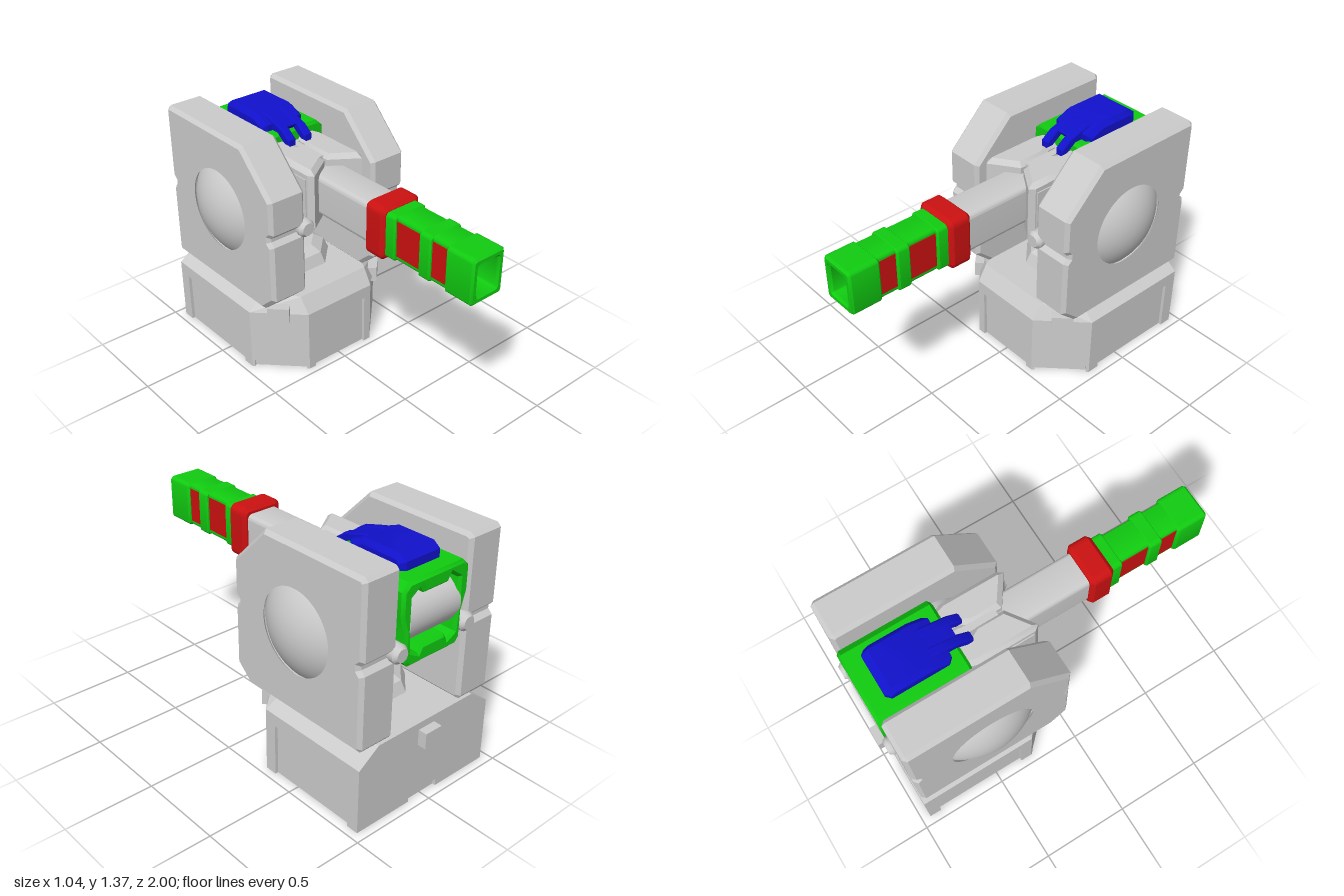
import * as THREE from 'three';
import { toCreasedNormals } from 'three/addons/utils/BufferGeometryUtils.js';
import { ConvexGeometry } from 'three/addons/geometries/ConvexGeometry.js';

const mat = (color) => new THREE.MeshStandardMaterial({ color, side: THREE.DoubleSide });
const grey = mat(0xcccccc), green = mat(0x11cc11), red = mat(0xcc1111), blue = mat(0x1111cc);
const V = (x, y) => new THREE.Vector2(x, y);
const poly = (pts) => new THREE.Shape(pts.map((p) => V(p[0], p[1])));

// Rounded rectangle centred on (0, cy)
function roundRect(hw, hh, r, cy = 0) {
  const s = new THREE.Shape();
  for (const [sx, sy, a] of [[1, 1, 0], [-1, 1, 1], [-1, -1, 2], [1, -1, 3]])
    s.absarc(sx * (hw - r), cy + sy * (hh - r), r, a * Math.PI / 2, (a + 1) * Math.PI / 2, false);
  return s;
}

// Extrusion of total depth with bevels kept inside the outline, centred on its depth
function extrude(shape, depth, bevel = 0, holes = []) {
  shape.holes.push(...holes);
  const g = new THREE.ExtrudeGeometry(shape, {
    depth: depth - 2 * bevel, bevelEnabled: bevel > 0, bevelSize: bevel, bevelThickness: bevel,
    bevelOffset: -bevel, bevelSegments: 1, curveSegments: 8,
  });
  g.translate(0, 0, bevel - depth / 2);
  return toCreasedNormals(g, 0.55);
}
const alongX = (pts, w, bevel, holes) => extrude(poly(pts), w, bevel, holes).rotateY(-Math.PI / 2); // pts are (z, y)
const alongY = (pts, h, bevel) => extrude(poly(pts), h, bevel).rotateX(Math.PI / 2); // pts are (x, z)

export function createModel() {
  const root = new THREE.Group();
  const add = (name, geo, m = grey, x = 0, y = 0, z = 0, parent = root) => {
    const mesh = new THREE.Mesh(geo, m);
    mesh.name = name;
    mesh.position.set(x, y, z);
    parent.add(mesh);
    return mesh;
  };
  const box = (name, w, h, d, m, x, y, z, parent) => add(name, new THREE.BoxGeometry(w, h, d), m, x, y, z, parent);
  // Rounded bar along z between z0 and z1
  const bar = (name, hw, hh, r, z0, z1, bevel, m, cy = 1.04, hole) =>
    add(name, extrude(roundRect(hw, hh, r, cy), z1 - z0, bevel, hole ? [hole] : []), m, 0, 0, (z0 + z1) / 2);

  // Hollow base: one wall per side, some with a recessed panel or bottom notch
  const wallH = 0.37, thick = 0.05;
  const outline = [[-0.455, -0.95], [-0.455, -0.27], [-0.225, -0.04], [0.225, -0.04], [0.455, -0.27], [0.455, -0.95]];
  const cuts = [[0.27, 0.3], [0.145, 0.045], [0.18, 0.3], [0.145, 0.045], [0.27, 0.3], [0.1, 0.04]];
  outline.forEach(([ax, az], i) => {
    const [bx, bz] = outline[(i + 1) % outline.length];
    const [cw, ch] = cuts[i];
    const h = Math.hypot(bx - ax, bz - az) / 2;
    const wall = new THREE.Group();
    wall.name = 'baseWall';
    wall.position.set((ax + bx) / 2, 0, (az + bz) / 2);
    wall.rotation.y = Math.atan2(-(bz - az), bx - ax);
    root.add(wall);
    const pts = [[-h, 0], [-cw, 0], [-cw, ch], [cw, ch], [cw, 0], [h, 0], [h, wallH], [-h, wallH]];
    add('wallFrame', extrude(poly(pts), thick), grey, 0, 0, -thick / 2, wall);
    box('recessedPanel', 2 * cw, ch, 0.03, grey, 0, ch / 2, -0.033, wall);
    // Clips on the two chamfered corners and the rear
    if (i === 1 || i === 3) box('cornerClip', 0.12, 0.09, 0.06, grey, 0, 0.375, 0, wall);
    if (i === 5) box('rearClip', 0.11, 0.09, 0.07, grey, 0, 0.375, 0.015, wall);
  });
  const topEdge = [[-0.33, -0.95], [-0.33, -0.29], [-0.23, -0.1], [0.23, -0.1], [0.33, -0.29], [0.33, -0.95]];
  add('baseTop', new ConvexGeometry([
    ...outline.map(([x, z]) => new THREE.Vector3(x, wallH, z)),
    ...topEdge.map(([x, z]) => new THREE.Vector3(x, 0.46, z)),
  ]));

  // Octagonal pedestal and neck post
  const pedestal = [V(0.243, 0.45), V(0.21, 0.525), V(0.15, 0.56), V(0.098, 0.56), V(0.098, 0.86), V(0, 0.86)];
  const ped = new THREE.LatheGeometry(pedestal, 8, Math.PI / 8).toNonIndexed();
  ped.computeVertexNormals();
  add('pedestal', ped, grey, 0, 0, -0.5);

  // Side plates with domed hubs and pivot bolts
  const plate = [
    [-0.04, 1.14], [-0.04, 0.95], [-0.065, 0.925], [-0.065, 0.905], [-0.04, 0.88], [-0.04, 0.55], [-0.14, 0.46],
    [-0.93, 0.46], [-0.945, 0.48], [-0.945, 0.88], [-0.92, 0.905], [-0.92, 0.925], [-0.945, 0.95],
    [-0.945, 1.35], [-0.925, 1.37], [-0.27, 1.37],
  ];
  // Hub profile: radius against distance from the centre plane
  const hub = [V(0, 0.18), V(0.21, 0.18), V(0.225, 0.2), V(0.225, 0.234), V(0.268, 0.234), V(0.249, 0.26), V(0.249, 0.425)];
  for (let i = 0; i <= 10; i++) {
    const a = 0.705 * (1 - i / 10);
    hub.push(V(0.378 * Math.sin(a), 0.52 - 0.378 * (1 - Math.cos(a))));
  }
  const bolt = [V(0, -0.12), V(0.05, -0.12), V(0.05, 0.1), V(0.035, 0.12), V(0, 0.12)];
  for (const s of [1, -1]) {
    const hole = new THREE.Path().absarc(-0.495, 0.92, 0.25, 0, 2 * Math.PI, true);
    const shape = poly(plate);
    const g = new THREE.ExtrudeGeometry((shape.holes.push(hole), shape), {
      depth: 0.185, bevelSize: 0.02, bevelThickness: 0.02, bevelOffset: -0.02, bevelSegments: 1, curveSegments: 32,
    });
    g.translate(0, 0, -0.0925).rotateY(-Math.PI / 2);
    add('sidePlate', toCreasedNormals(g, 0.4), grey, s * 0.342);
    const h = add('domedHub', toCreasedNormals(new THREE.LatheGeometry(hub, 48), 0.4), grey, 0, 0.92, -0.495);
    h.rotation.z = -s * Math.PI / 2;
    for (const [z, dir] of [[-0.14, 1], [-0.855, -1]]) {
      const b = add('pivotBolt', toCreasedNormals(new THREE.LatheGeometry(bolt, 20), 0.5), grey, s * 0.228, 0.92, z);
      b.rotation.x = dir * Math.PI / 2;
    }
  }

  // Green cradle frame with tabs reaching into its opening
  const half = [[0.12, 0.82], [0.16, 0.82], [0.19, 0.855], [0.19, 1.0], [0.22, 1.1], [0.22, 1.225], [0.18, 1.265]];
  const inner = [[0.08, 0.91], [0.1, 0.875], [0.145, 0.9], [0.155, 1.04], [0.155, 1.18], [0.1, 1.22], [0.08, 1.18]];
  const mirror = (p) => [...p, ...p.map(([x, y]) => [-x, y]).reverse()];
  add('cradleFrame', extrude(poly(mirror(half)), 0.515, 0.015, [poly(mirror(inner))]), green, 0, 0, -0.6975);

  // Breech: roller at the rear and block behind the barrel
  add('breechRoller', new THREE.CylinderGeometry(0.135, 0.135, 0.34, 32).rotateZ(Math.PI / 2), grey, 0, 1.045, -0.825);
  box('breechBlock', 0.32, 0.3, 0.36, grey, 0, 1.045, -0.6);

  // Split shield around the barrel root, opening in a V at the front
  for (const s of [1, -1]) {
    const pts = [[0.04, -0.5], [0.15, -0.5], [0.183, -0.4], [0.183, -0.08], [0.16, -0.05], [0.008, -0.155], [0.008, -0.32], [0.04, -0.38]];
    add('barrelShield', alongY(pts.map(([x, z]) => [s * x, z]), 0.355, 0.025), grey, 0, 1.038, 0);
    box('shieldCheek', 0.012, 0.25, 0.26, grey, s * 0.183, 1.04, -0.22);
  }
  box('shieldSeam', 0.04, 0.325, 0.26, grey, 0, 1.038, -0.32);

  // Barrel, collar and muzzle
  bar('barrel', 0.1, 0.115, 0.03, -0.45, 0.32, 0, grey);
  bar('collar', 0.128, 0.148, 0.04, 0.29, 0.425, 0.02, red);
  bar('muzzleCore', 0.086, 0.123, 0.015, 0.4, 0.84, 0, green);
  bar('muzzleBand', 0.105, 0.126, 0.025, 0.41, 0.487, 0.008, green);
  bar('muzzleBand', 0.105, 0.126, 0.025, 0.65, 0.727, 0.008, green);
  bar('muzzleTip', 0.105, 0.126, 0.025, 0.823, 1, 0.012, green, 1.04, roundRect(0.065, 0.084, 0.012, 1.04));
  for (const s of [1, -1])
    for (const [z0, z1] of [[0.487, 0.65], [0.727, 0.823]])
      box('sidePanel', 0.01, 0.195, z1 - z0, red, s * 0.084, 1.042, (z0 + z1) / 2);

  // Blue sight housing with a pronged nose
  const housing = [[-0.86, 1.24], [-0.86, 1.31], [-0.82, 1.34], [-0.6, 1.34], [-0.5, 1.3], [-0.5, 1.24]];
  add('sightHousing', alongX(housing, 0.27, 0.025), blue);
  const nose = [[-0.7, 1.24], [-0.7, 1.335], [-0.56, 1.335], [-0.42, 1.295], [-0.36, 1.25], [-0.36, 1.215], [-0.4, 1.215], [-0.45, 1.25]];
  for (const s of [1, -1]) add('sightProng', alongX(nose, 0.05, 0.008), blue, s * 0.054);
  const bridge = [[-0.7, 1.25], [-0.7, 1.33], [-0.56, 1.33], [-0.43, 1.295], [-0.47, 1.25]];
  add('sightBridge', alongX(bridge, 0.08, 0), blue);

  return root;
}
